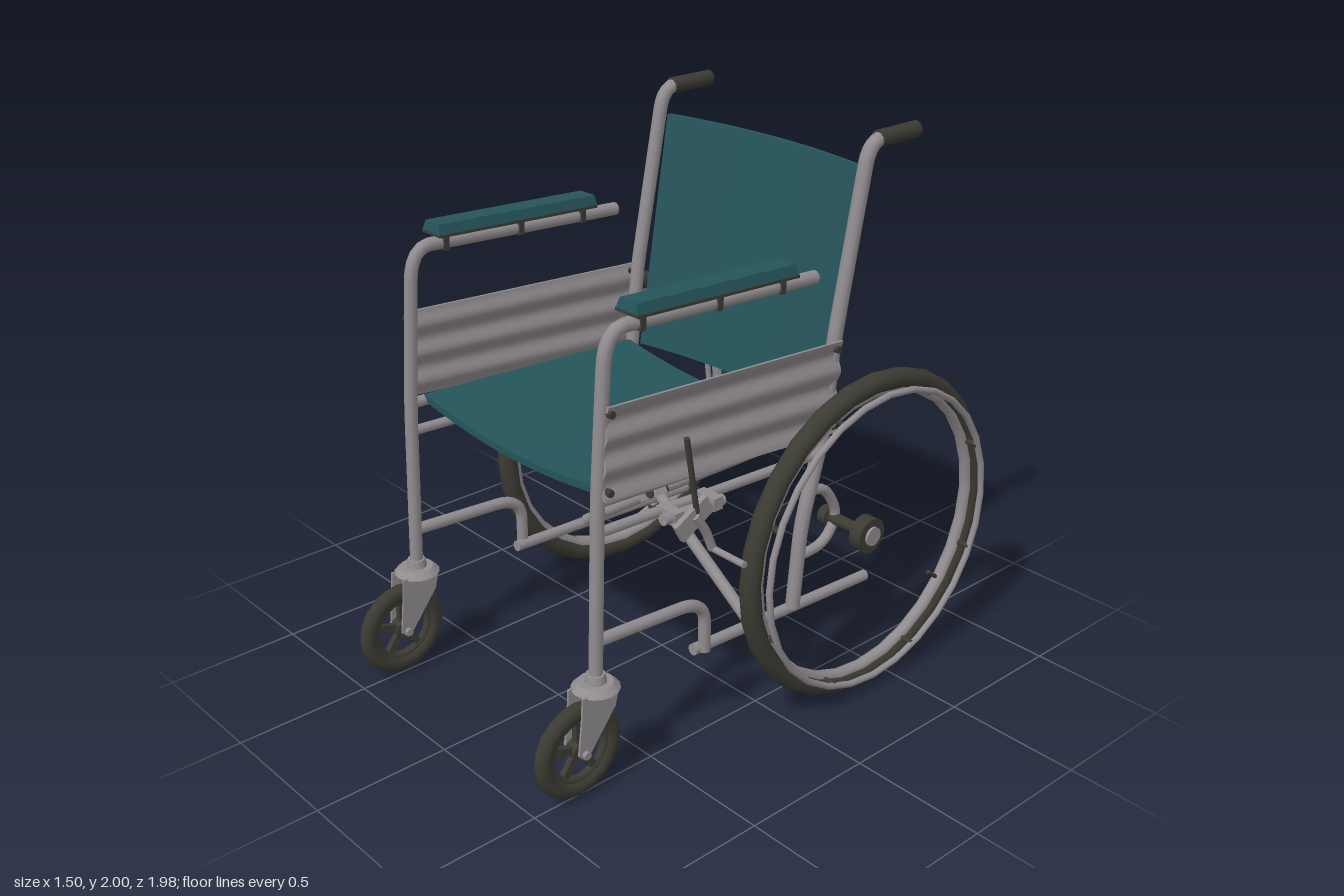
import * as THREE from 'three';
import { mergeGeometries } from 'three/addons/utils/BufferGeometryUtils.js';

const V = (x, y, z) => new THREE.Vector3(x, y, z);
const mat = (name, color) => new THREE.MeshStandardMaterial({ name, color });
const metal = mat('greyMetal', 0x918c8f);
const rubber = mat('darkRubber', 0x3c3b33);
const fabric = mat('tealFabric', 0x25555b);
metal.side = THREE.DoubleSide;

export function createModel() {
  const root = new THREE.Group();
  root.name = 'wheelchair';

  const add = (name, geo, material, x = 0, y = 0, z = 0, parent = root) => {
    const m = new THREE.Mesh(geo, material);
    m.name = name;
    m.position.set(x, y, z);
    parent.add(m);
    return m;
  };

  // Capped pipe through points, with rounded bends
  const pipe = (name, pts, r, material = metal, bend = 0.08) => {
    const path = new THREE.CurvePath();
    let from = pts[0];
    for (let i = 1; i < pts.length - 1; i++) {
      const p = pts[i];
      const d1 = Math.min(bend, p.distanceTo(pts[i - 1]) * 0.45);
      const d2 = Math.min(bend, p.distanceTo(pts[i + 1]) * 0.45);
      const a = p.clone().add(pts[i - 1].clone().sub(p).setLength(d1));
      const b = p.clone().add(pts[i + 1].clone().sub(p).setLength(d2));
      path.add(new THREE.LineCurve3(from, a));
      path.add(new THREE.QuadraticBezierCurve3(a, p, b));
      from = b;
    }
    const last = pts[pts.length - 1];
    path.add(new THREE.LineCurve3(from, last));
    const cap = (p, dir) => {
      const q = new THREE.Quaternion().setFromUnitVectors(V(0, 0, 1), dir.normalize());
      return new THREE.CircleGeometry(r, 10).applyQuaternion(q).translate(p.x, p.y, p.z);
    };
    const segments = pts.length === 2 ? 1 : pts.length * 14;
    return add(name, mergeGeometries([
      new THREE.TubeGeometry(path, segments, r, 10),
      cap(pts[0], pts[0].clone().sub(pts[1])),
      cap(last, last.clone().sub(pts[pts.length - 2])),
    ]), material);
  };

  // Move the vertices of a geometry by a rule
  const bendBy = (geo, rule) => {
    const p = geo.attributes.position;
    for (let i = 0; i < p.count; i++) {
      const v = V(0, 0, 0).fromBufferAttribute(p, i);
      rule(v);
      p.setXYZ(i, v.x, v.y, v.z);
    }
    geo.computeVertexNormals();
    return geo;
  };

  const ring = (R, r, n = 28) => new THREE.TorusGeometry(R, r, 10, n).rotateY(Math.PI / 2);
  const disc = (r, w, n = 16) => new THREE.CylinderGeometry(r, r, w, n).rotateZ(Math.PI / 2);

  // Sagging seat sling
  add('seat', bendBy(new THREE.BoxGeometry(1, 0.025, 0.945, 16, 1, 4), v => {
    v.y += 1.06 - 0.047 * (1 - (v.x / 0.5) ** 2) + 0.045 * (v.z / 0.945 - 0.5);
    v.z += 0.193;
  }), fabric);

  // Curved, leaning backrest sling
  add('backrest', bendBy(new THREE.BoxGeometry(0.98, 0.875, 0.018, 16, 6, 1), v => {
    const t = v.y / 0.875 + 0.5;
    v.z -= 0.335 + 0.14 * t + 0.055 * (1 - (v.x / 0.49) ** 2);
    v.y += 1.4375;
  }), fabric);

  // Folding cross brace
  pipe('crossBraceFront', [V(-0.49, 1.0, 0.025), V(0.48, 0.34, 0.025)], 0.022);
  pipe('crossBraceRear', [V(0.49, 1.0, -0.035), V(-0.48, 0.34, -0.035)], 0.022);
  add('bracePivot', new THREE.CylinderGeometry(0.02, 0.02, 0.13, 10).rotateX(Math.PI / 2), rubber, 0, 0.67, 0);
  const plate = add('bracePlate', new THREE.BoxGeometry(0.16, 0.05, 0.012), metal, 0, 0.675, 0.05);
  plate.rotation.z = 0.6;

  for (const s of [1, -1]) {
    const X = 0.505 * s;

    // Frame tubes
    pipe('frontPostAndArmTube', [V(X, 0.4, 0.74), V(X, 1.06, 0.72), V(X, 1.61, 0.68),
      V(X, 1.6, 0.5), V(X, 1.56, -0.22)], 0.024, metal, 0.12);
    pipe('rearPost', [V(X, 0.33, -0.17), V(X, 0.65, -0.2), V(X, 1.0, -0.3), V(X, 1.29, -0.325),
      V(X, 1.975, -0.46), V(X, 1.975, -0.6)], 0.026);
    pipe('handGrip', [V(X, 1.975, -0.5), V(X, 1.975, -0.69)], 0.03, rubber);
    pipe('seatRail', [V(X, 1.05, 0.71), V(X, 1.0, -0.3)], 0.02);
    pipe('upperRail', [V(X, 0.945, 0.715), V(X, 0.9, -0.27)], 0.018);
    pipe('lowerFrontTube', [V(X, 0.56, 0.73), V(X, 0.53, 0.26), V(X, 0.33, 0.26)], 0.022, metal, 0.12);
    pipe('bottomRail', [V(X * 0.97, 0.34, 0.3), V(X * 0.97, 0.3, -0.57)], 0.021);
    pipe('axleBracket', [V(X, 0.77, -0.25), V(X, 0.75, -0.32), V(X, 0.63, -0.39),
      V(X, 0.53, -0.32), V(X, 0.525, -0.18)], 0.019);

    // Ribbed side panel
    add('sidePanel', bendBy(new THREE.BoxGeometry(0.01, 1, 1, 1, 24, 1), v => {
      const t = v.y + 0.5, f = v.z + 0.5, mix = THREE.MathUtils.lerp;
      v.y = mix(mix(0.98, 1.065, f), mix(1.315, 1.375, f), t);
      v.z = mix(mix(-0.32, 0.72, f), mix(-0.335, 0.7, f), t);
      v.x += s * (0.528 + 0.009 * Math.cos(t * Math.PI * 6));
    }), metal);
    for (const [y, z] of [[1.35, 0.69], [1.09, 0.7], [1.29, -0.31], [1.01, -0.3]])
      add('panelBolt', disc(0.013, 0.03, 8), rubber, 0.535 * s, y, z);

    // Armrest pad, base and clips
    const arm = new THREE.Group();
    arm.name = 'armrest';
    arm.position.set(X, 1.645, 0.25);
    arm.rotation.x = -0.05;
    root.add(arm);
    add('armPad', bendBy(new THREE.BoxGeometry(0.1, 0.036, 0.69), v => {
      if (v.y > 0) { v.x *= 0.78; v.z *= 0.985; }
    }), fabric, 0, 0, 0, arm);
    add('armPadBase', new THREE.BoxGeometry(0.104, 0.01, 0.69), rubber, 0, -0.021, 0, arm);
    for (const z of [0.3, -0.02, -0.3])
      add('armClip', new THREE.BoxGeometry(0.058, 0.06, 0.02), rubber, 0, -0.05, z, arm);

    // Rear wheel with handrim
    const wheel = new THREE.Group();
    wheel.name = 'rearWheel';
    wheel.position.set(0.66 * s, 0.615, -0.37);
    root.add(wheel);
    add('tyre', ring(0.573, 0.037), rubber, 0, 0, 0, wheel);
    add('rim', ring(0.545, 0.024), metal, 0, 0, 0, wheel);
    add('handrim', ring(0.55, 0.012), metal, 0.067 * s, 0, 0, wheel);
    for (let i = 0; i < 8; i++) {
      const a = (i + 0.5) * Math.PI / 4;
      add('handrimPeg', disc(0.01, 0.07, 8), rubber, 0.035 * s, 0.543 * Math.sin(a), 0.543 * Math.cos(a), wheel);
    }
    const valve = add('valve', new THREE.CylinderGeometry(0.008, 0.008, 0.06, 8), rubber, 0, -0.31, -0.385, wheel);
    valve.rotation.x = 0.9;
    add('hub', disc(0.065, 0.05), rubber, 0, 0, 0, wheel);
    add('hubCap', disc(0.035, 0.07), metal, 0, 0, 0, wheel);
    add('axle', disc(0.022, 0.2, 12), rubber, -0.1 * s, 0, 0, wheel);
    add('axleCollar', disc(0.036, 0.035), rubber, -0.187 * s, 0, 0, wheel);

    // Front caster wheel
    const caster = new THREE.Group();
    caster.name = 'caster';
    caster.position.set(X, 0.19, 0.82);
    root.add(caster);
    add('casterTyre', ring(0.143, 0.032, 20).scale(0.85, 1, 1), rubber, 0, 0, 0, caster);
    add('casterRim', ring(0.115, 0.016, 20), rubber, 0, 0, 0, caster);
    for (let i = 0; i < 5; i++) {
      const spoke = new THREE.BoxGeometry(0.022, 0.1, 0.026).translate(0, 0.065, 0);
      add('casterSpoke', spoke.rotateX(i * Math.PI * 0.4), rubber, 0, 0, 0, caster);
    }
    add('casterHub', disc(0.034, 0.045), rubber, 0, 0, 0, caster);
    add('casterAxle', disc(0.014, 0.11, 10), metal, 0, 0, 0, caster);

    // Fork, with a plate on each side of the caster
    const forkShape = new THREE.Shape([[-0.15, 0.21], [0.005, 0.21], [0.01, 0.13], [0.025, 0],
      [0, -0.025], [-0.025, -0.005], [-0.06, 0.04], [-0.13, 0.13]].map(p => new THREE.Vector2(...p)));
    for (const x of [-0.036, 0.036])
      add('forkPlate', new THREE.ExtrudeGeometry(forkShape, { depth: 0.008, bevelEnabled: false })
        .translate(0, 0, -0.004).rotateY(-Math.PI / 2), metal, x, 0, 0, caster);
    add('forkFlange', new THREE.CylinderGeometry(0.06, 0.082, 0.022, 16), metal, 0, 0.215, -0.08, caster);
    add('forkCollar', new THREE.CylinderGeometry(0.032, 0.038, 0.03, 12), metal, 0, 0.24, -0.08, caster);

    // Parking brake
    pipe('brakeMount', [V(0.56 * s, 0.935, 0.5), V(0.56 * s, 0.92, 0.24)], 0.02);
    add('brakeClamp', new THREE.BoxGeometry(0.09, 0.045, 0.04), metal, 0.54 * s, 0.93, 0.45);
    add('brakeClamp', new THREE.BoxGeometry(0.09, 0.045, 0.04), metal, 0.54 * s, 0.925, 0.28);
    const body = add('brakeBody', new THREE.BoxGeometry(0.02, 0.07, 0.15), metal, 0.595 * s, 0.92, 0.4);
    body.rotation.x = 0.5;
    pipe('brakeLever', [V(0.61 * s, 1.22, 0.445), V(0.6 * s, 0.94, 0.39)], 0.01, rubber);
    pipe('brakeArm', [V(0.6 * s, 0.93, 0.4), V(0.6 * s, 0.86, 0.35), V(0.6 * s, 0.785, 0.32)], 0.016, metal, 0.03);
    pipe('brakeBar', [V(0.59 * s, 0.785, 0.32), V(0.75 * s, 0.785, 0.32)], 0.012);
  }
  return root;
}
